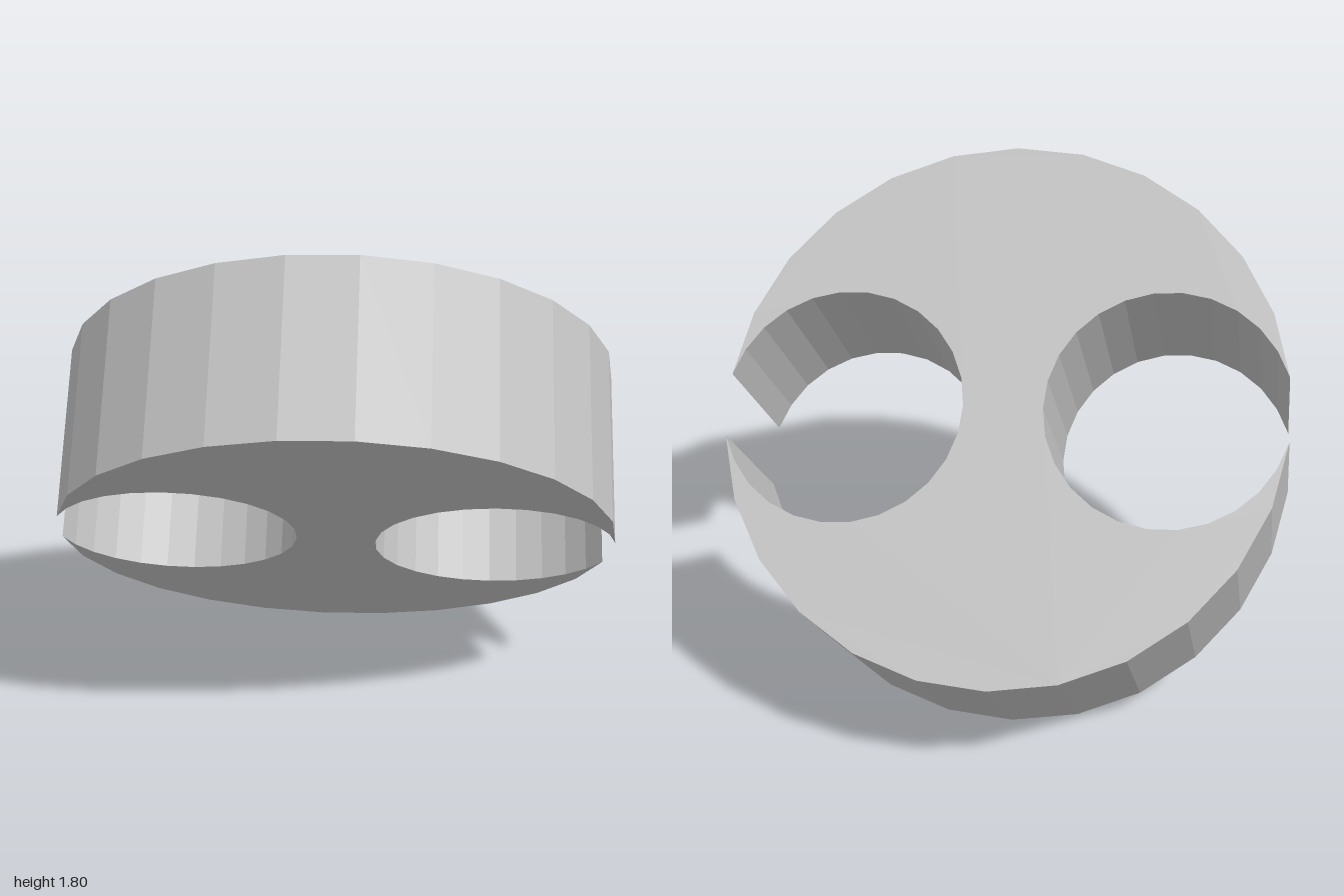
import * as THREE from 'three';

// Tilted thick disc with two round bores that break through its rim.
export function createModel() {
  const R = 0.985, boreR = 0.426, depth = 0.63;
  const bore = new THREE.Vector2(0.56, -0.08);
  const rad = THREE.MathUtils.degToRad;

  // Half outline: lower rim arc, then clockwise round the right bore
  const half = [];
  const rimSteps = 12, boreSteps = 24;
  for (let i = 0; i <= rimSteps; i++) {
    const a = rad(-181.7 + (166.7 * i) / rimSteps);
    half.push(new THREE.Vector2(R * Math.cos(a), R * Math.sin(a)));
  }
  for (let i = 1; i < boreSteps; i++) {
    const a = rad(-24.2 - (329.1 * i) / boreSteps);
    half.push(new THREE.Vector2(bore.x + boreR * Math.cos(a), bore.y + boreR * Math.sin(a)));
  }
  // The other half is the same outline turned by 180 degrees
  const outline = half.concat(half.map((p) => p.clone().negate()));

  const geometry = new THREE.ExtrudeGeometry(new THREE.Shape(outline), {
    depth, bevelEnabled: false, steps: 1,
  });
  geometry.translate(0, 0, -depth / 2);

  const grey = new THREE.MeshStandardMaterial({ color: 0xc0c0c0 });
  grey.name = 'lightGrey';
  const disc = new THREE.Mesh(geometry, grey);
  disc.name = 'notchedDisc';

  // Tilt: the disc axis points down and forward
  const axis = new THREE.Vector3(0.05, -0.73, 0.683).normalize();
  const side = new THREE.Vector3(0, 0.683, 0.73).cross(axis).normalize();
  const up = axis.clone().cross(side);
  disc.quaternion.setFromRotationMatrix(new THREE.Matrix4().makeBasis(side, up, axis));
  disc.position.y = 0.905;

  const group = new THREE.Group();
  group.name = 'tiltedDisc';
  group.add(disc);
  return group;
}
